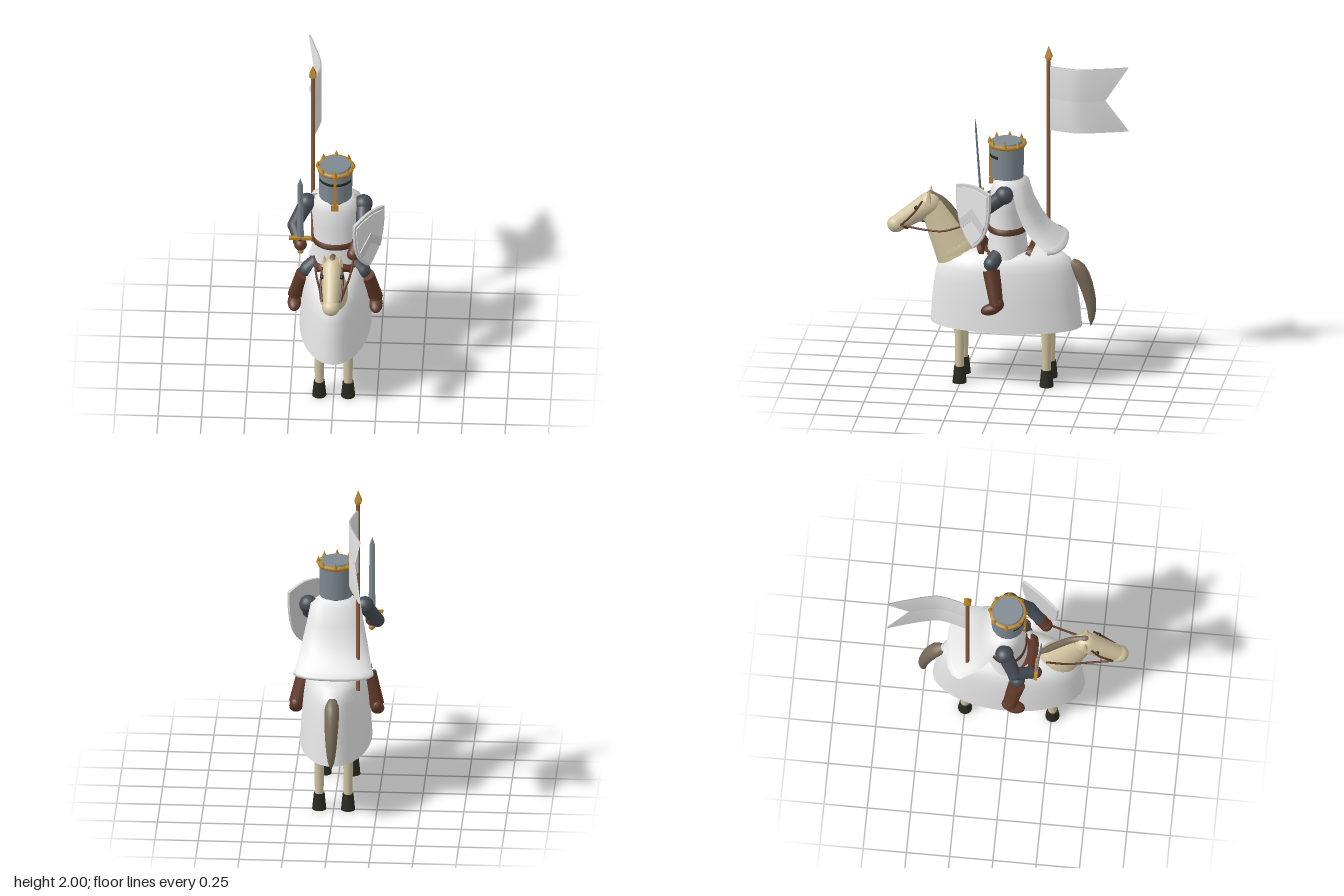
import * as THREE from 'three';
import { mergeVertices } from 'three/addons/utils/BufferGeometryUtils.js';

const mat = (name, color, double = false) => {
  const m = new THREE.MeshStandardMaterial({ color });
  m.name = name;
  if (double) m.side = THREE.DoubleSide;
  return m;
};
const M = {
  white: mat('white cloth', 0xe6e6e6, true),
  pale: mat('pale grey', 0xd2d2d2),
  steel: mat('steel', 0x7e8990),
  mail: mat('dark mail', 0x454b54),
  leather: mat('brown leather', 0x613929),
  wood: mat('wood', 0x8d5c3b),
  gold: mat('gold', 0xb9862c),
  coat: mat('tan coat', 0xd3c4a0),
  mane: mat('mane brown', 0x7a6b58),
  dark: mat('hoof black', 0x282b20),
};
const V = (x, y, z) => new THREE.Vector3(x, y, z);
const flat = (g) => { const f = g.toNonIndexed(); f.computeVertexNormals(); return f; };

export function createModel() {
  const root = new THREE.Group();
  const add = (name, geo, material, x = 0, y = 0, z = 0, parent = root) => {
    const m = new THREE.Mesh(geo, material);
    m.name = name;
    m.position.set(x, y, z);
    parent.add(m);
    return m;
  };
  const ball = (name, p, r, material, sx = 1, sy = 1, sz = 1) => {
    const m = add(name, new THREE.SphereGeometry(r, 20, 14), material, p.x, p.y, p.z);
    m.scale.set(sx, sy, sz);
    return m;
  };
  // tapered cylinder between two points
  const limb = (name, a, b, ra, rb, material, sx = 1) => {
    const d = b.clone().sub(a), c = a.clone().add(b).multiplyScalar(0.5);
    const m = add(name, new THREE.CylinderGeometry(rb, ra, d.length(), 20), material, c.x, c.y, c.z);
    m.quaternion.setFromUnitVectors(V(0, 1, 0), d.normalize());
    m.scale.x = sx;
  };
  const tube = (name, pts, r, material) =>
    add(name, new THREE.TubeGeometry(new THREE.CatmullRomCurve3(pts), 24, r, 10), material);
  // smooth surface from a rule f(i, j), welded where its edges meet
  const grid = (nu, nv, f) => {
    const pos = [], idx = [];
    for (let j = 0; j <= nv; j++) for (let i = 0; i <= nu; i++) pos.push(...f(i, j));
    for (let j = 0; j < nv; j++) for (let i = 0; i < nu; i++) {
      const a = j * (nu + 1) + i, d = a + nu + 1;
      idx.push(a, a + 1, d, a + 1, d + 1, d);
    }
    const g = new THREE.BufferGeometry();
    g.setAttribute('position', new THREE.Float32BufferAttribute(pos, 3));
    g.setIndex(idx);
    const welded = mergeVertices(g);
    welded.computeVertexNormals();
    return welded;
  };
  // oval rings given as [y, half width, front z, back z]
  const ovals = (rows) => grid(40, rows.length - 1, (i, j) => {
    const [y, w, f, b] = rows[j], t = Math.PI + (i / 40) * Math.PI * 2;
    return [w * Math.sin(t), y, (f + b) / 2 + ((f - b) / 2) * Math.cos(t)];
  });

  // horse cloth
  add('horseCloth', ovals([[0.35, 0.207, 0.435, -0.445], [0.5, 0.198, 0.425, -0.43], [0.62, 0.187, 0.41, -0.415],
    [0.7, 0.175, 0.395, -0.4], [0.75, 0.16, 0.345, -0.38], [0.785, 0.14, 0.28, -0.34], [0.803, 0.11, 0.22, -0.29],
    [0.805, 0, 0, -0.02]]), M.white);
  add('clothUnderside', ovals([[0.35, 0, 0, 0], [0.35, 0.207, 0.435, -0.445]]), M.white);

  // horse legs and hooves
  for (const x of [-0.083, 0.083]) for (const z of [0.255, -0.25]) {
    limb('horseLeg', V(x, 0.08, z), V(x, 0.34, z), 0.025, 0.029, M.coat);
    limb('horseKnee', V(x, 0.31, z), V(x, 0.42, z), 0.034, 0.037, M.coat);
    limb('hoof', V(x, 0, z), V(x, 0.1, z), 0.041, 0.031, M.dark);
  }

  // neck, head and ears
  limb('horseNeck', V(0, 0.75, 0.28), V(0, 1.05, 0.43), 0.125, 0.072, M.coat, 0.68);
  ball('neckBase', V(0, 0.77, 0.288), 0.122, M.coat, 0.68);
  ball('poll', V(0, 1.05, 0.44), 0.071, M.coat, 0.87);
  limb('horseHead', V(0, 1.045, 0.45), V(0, 0.925, 0.625), 0.07, 0.049, M.coat, 0.9);
  ball('muzzle', V(0, 0.917, 0.637), 0.051, M.coat, 1, 0.95);
  for (const s of [-1, 1]) {
    const ear = add('horseEar', flat(new THREE.ConeGeometry(0.024, 0.08, 6)), M.coat, s * 0.045, 1.108, 0.44);
    ear.rotation.z = -s * 0.1;
    ball('horseEye', V(s * 0.056, 1.04, 0.51), 0.013, M.dark);
    // bridle and reins
    tube('cheekStrap', [V(s * 0.058, 1.085, 0.475), V(s * 0.064, 1.01, 0.525), V(s * 0.054, 0.93, 0.6)], 0.006, M.leather);
    tube('rein', [V(s * 0.054, 0.93, 0.605), V(s * 0.075, 0.915, 0.45), V(s * 0.095, 0.92, 0.35),
      V(s * 0.115, 0.97, 0.22)], 0.006, M.leather);
  }
  const nose = add('noseBand', new THREE.TorusGeometry(0.054, 0.006, 8, 20, Math.PI), M.leather, 0, 0.942, 0.598);
  nose.rotation.set(0.6, 0, Math.PI);

  // mane
  tube('mane', [V(0, 1.105, 0.435), V(0, 1.065, 0.362), V(0, 0.972, 0.285), V(0, 0.89, 0.232), V(0, 0.82, 0.195)], 0.026, M.mane)
    .scale.x = 0.75;
  ball('maneTop', V(0, 1.105, 0.435), 0.026, M.mane, 0.75);
  ball('maneEnd', V(0, 0.82, 0.195), 0.026, M.mane, 0.75);

  // tail, thick in the middle and tapered at the end
  const tail = new THREE.CatmullRomCurve3([V(0, 0.74, -0.38), V(0, 0.69, -0.43), V(0, 0.58, -0.475), V(0, 0.46, -0.5), V(0, 0.35, -0.495)]);
  const tailR = [0.024, 0.036, 0.042, 0.042, 0.04, 0.036, 0.032, 0.026, 0.018, 0];
  add('tail', grid(14, 9, (i, j) => {
    const p = tail.getPoint(j / 9), t = tail.getTangent(j / 9), a = (i / 14) * Math.PI * 2;
    const s = -Math.sin(a) * tailR[j];
    return [Math.cos(a) * tailR[j], p.y - t.z * s, p.z + t.y * s];
  }), M.mane);

  // saddle
  ball('saddle', V(0, 0.79, 0), 0.15, M.leather, 0.95, 0.22, 1);
  for (const [z, r, n] of [[0.13, 0.45, 'saddlePommel'], [-0.145, -0.4, 'saddleCantle']]) {
    const p = add(n, new THREE.CylinderGeometry(0.1, 0.11, 0.03, 24), M.leather, 0, 0.805, z);
    p.scale.z = 0.52;
    p.rotation.x = Math.PI / 2 + r;
  }

  // tunic and belt
  add('tunic', ovals([[0.78, 0.15, 0.105, -0.13], [0.93, 0.125, 0.092, -0.115], [1.06, 0.132, 0.092, -0.118],
    [1.16, 0.14, 0.085, -0.115], [1.21, 0.125, 0.07, -0.1], [1.24, 0.09, 0.05, -0.08], [1.25, 0, -0.01, -0.01]]), M.white);
  add('belt', ovals([[0.92, 0.11, 0.08, -0.1], [0.92, 0.133, 0.1, -0.124], [0.955, 0.131, 0.1, -0.122], [0.955, 0.11, 0.08, -0.1]]), M.leather);

  // cape as [y, half width, back z, side z], with a folded hem
  const cape = [[1.235, 0.1, -0.09, -0.03], [1.205, 0.145, -0.135, -0.06], [1.1, 0.165, -0.165, -0.085],
    [1.0, 0.188, -0.215, -0.13], [0.93, 0.205, -0.265, -0.185], [0.86, 0.228, -0.355, -0.27]];
  const sheet = (rows) => grid(8, rows.length - 1, (i, j) => {
    const [y, w, b, s] = rows[j], u = i / 4 - 1;
    return [w * Math.sin(u * 1.5), y, b + (s - b) * Math.abs(u) ** 2.2];
  });
  add('cape', sheet(cape), M.white);
  add('capeHem', sheet([[0.885, 0.222, -0.335, -0.25], [0.868, 0.232, -0.362, -0.275], [0.85, 0.23, -0.36, -0.272],
    [0.865, 0.222, -0.335, -0.25]]), M.white);

  // helmet, visor slit and gold bar
  const hz = -0.01;
  limb('neckMail', V(0, 1.2, hz), V(0, 1.27, hz), 0.075, 0.075, M.mail);
  limb('helmet', V(0, 1.245, hz), V(0, 1.445, hz), 0.095, 0.097, M.steel);
  limb('helmetTop', V(0, 1.44, hz), V(0, 1.462, hz), 0.092, 0.084, M.steel);
  add('visorSlit', new THREE.CylinderGeometry(0.099, 0.099, 0.018, 24, 1, true, -1.15, 2.3), M.dark, 0, 1.378, hz);
  add('visorBar', new THREE.BoxGeometry(0.018, 0.2, 0.012), M.gold, 0, 1.34, hz + 0.099);
  add('collarClasp', new THREE.BoxGeometry(0.042, 0.04, 0.02), M.gold, 0, 1.218, 0.083);

  // crown
  const ring = [[0.094, 0], [0.104, 0], [0.106, 0.011], [0.104, 0.022], [0.09, 0.022]].map((p) => new THREE.Vector2(...p));
  add('crownBand', new THREE.LatheGeometry(ring, 36), M.gold, 0, 1.43, hz);
  for (let k = 0; k < 8; k++) {
    const a = (k / 8) * Math.PI * 2, x = 0.102 * Math.sin(a), z = hz + 0.102 * Math.cos(a);
    add('crownPoint', new THREE.ConeGeometry(0.014, 0.036, 8), M.gold, x, 1.465, z);
    ball('crownStud', V(x * 1.02, 1.442, z), 0.009, M.gold);
  }

  // arms
  const arm = (side, shoulder, elbow, hand, cuffAt) => {
    ball(side + 'Shoulder', shoulder, 0.053, M.mail);
    limb(side + 'UpperArm', shoulder, elbow, 0.045, 0.039, M.mail);
    ball(side + 'Elbow', elbow, 0.04, M.mail);
    const cuff = elbow.clone().lerp(hand, cuffAt);
    limb(side + 'Forearm', elbow, cuff, 0.038, 0.034, M.mail);
    limb(side + 'Glove', cuff, hand, 0.038, 0.034, M.leather);
    ball(side + 'Hand', hand, 0.037, M.leather);
  };
  arm('right', V(-0.165, 1.18, -0.015), V(-0.235, 1.06, 0.05), V(-0.195, 1.012, 0.168), 0.78);
  arm('left', V(0.16, 1.18, -0.015), V(0.162, 1.085, 0.1), V(0.11, 0.975, 0.2), 0.65);

  // sword
  const sword = new THREE.Group();
  sword.name = 'sword';
  sword.position.set(-0.195, 1.015, 0.17);
  sword.rotation.x = 0.07;
  root.add(sword);
  add('blade', flat(new THREE.CylinderGeometry(0.015, 0.02, 0.41, 4)), M.steel, 0, 0.25, 0, sword).scale.z = 0.35;
  add('bladeTip', flat(new THREE.ConeGeometry(0.015, 0.045, 4)), M.steel, 0, 0.4775, 0, sword).scale.z = 0.35;
  add('crossguard', new THREE.BoxGeometry(0.13, 0.016, 0.02), M.gold, 0, 0.046, 0, sword);
  add('grip', new THREE.CylinderGeometry(0.012, 0.012, 0.09, 12), M.leather, 0, 0, 0, sword);
  add('swordPommel', new THREE.SphereGeometry(0.018, 14, 10), M.gold, 0, -0.05, 0, sword);

  // shield with rim, raised panel and chevron
  const shield = new THREE.Group();
  shield.name = 'shield';
  shield.position.set(0.195, 1.055, 0.157);
  shield.rotation.y = 0.927;
  root.add(shield);
  const outline = (k) => {
    const s = new THREE.Shape();
    s.moveTo(0, 0.19 * k);
    s.quadraticCurveTo(0.07 * k, 0.185 * k, 0.135 * k, 0.165 * k);
    s.bezierCurveTo(0.14 * k, 0.0, 0.115 * k, -0.11 * k, 0, -0.19 * k);
    s.bezierCurveTo(-0.115 * k, -0.11 * k, -0.14 * k, 0, -0.135 * k, 0.165 * k);
    s.quadraticCurveTo(-0.07 * k, 0.185 * k, 0, 0.19 * k);
    return s;
  };
  const plate = (shape, depth) => new THREE.ExtrudeGeometry(shape, { depth, bevelEnabled: false, curveSegments: 10 });
  add('shieldBody', plate(outline(1), 0.016), M.pale, 0, 0, -0.006, shield);
  add('shieldPanel', plate(outline(0.9), 0.006), M.white, 0, 0, 0.01, shield);
  const chevron = new THREE.Shape([[0, 0.05], [-0.1, -0.04], [-0.085, -0.09], [0, -0.02], [0.085, -0.09], [0.1, -0.04]]
    .map((p) => new THREE.Vector2(...p)));
  add('shieldChevron', plate(chevron, 0.005), M.pale, 0, 0, 0.016, shield);

  // rider's legs and boots
  for (const s of [-1, 1]) {
    const hip = V(s * 0.1, 0.795, 0.025), knee = V(s * 0.16, 0.757, 0.06), ankle = V(s * 0.232, 0.54, 0.02);
    limb('thigh', hip, knee, 0.045, 0.044, M.mail);
    ball('knee', knee, 0.044, M.mail);
    limb('boot', V(s * 0.172, 0.722, 0.058), ankle, 0.058, 0.045, M.leather, 0.8);
    ball('heel', ankle, 0.044, M.leather, 0.85);
    const foot = ball('foot', V(s * 0.235, 0.508, 0.05), 0.06, M.leather, 0.65, 0.55, 1.05);
    foot.rotation.x = 0.3;
  }

  // banner pole and finial
  limb('bannerPole', V(-0.14, 0.74, -0.23), V(-0.14, 1.94, -0.23), 0.012, 0.012, M.wood);
  limb('finialCollar', V(-0.14, 1.915, -0.23), V(-0.14, 1.937, -0.23), 0.017, 0.017, M.gold);
  add('finial', flat(new THREE.ConeGeometry(0.03, 0.068, 4)), M.gold, -0.14, 1.966, -0.23).rotation.y = Math.PI / 4;

  // swallowtail flag: two soft-edged strips [bottom y, its reach, top y, its reach]
  const wave = new THREE.CatmullRomCurve3([V(-0.137, 0, -0.24), V(-0.115, 0, -0.32), V(-0.102, 0, -0.4),
    V(-0.115, 0, -0.48), V(-0.143, 0, -0.58), V(-0.178, 0, -0.69)]);
  for (const [y0, reach0, y1, reach1] of [[1.487, 1, 1.68, 0.76], [1.68, 0.76, 1.875, 1]]) {
    add('flagStrip', grid(20, 4, (i, j) => {
      const top = j === 1 || j === 2, side = j === 2 || j === 3 ? -0.005 : 0.005;
      const p = wave.getPoint((i / 20) * (top ? reach1 : reach0));
      return [p.x + side, top ? y1 : y0, p.z];
    }), M.white);
  }

  return root;
}
